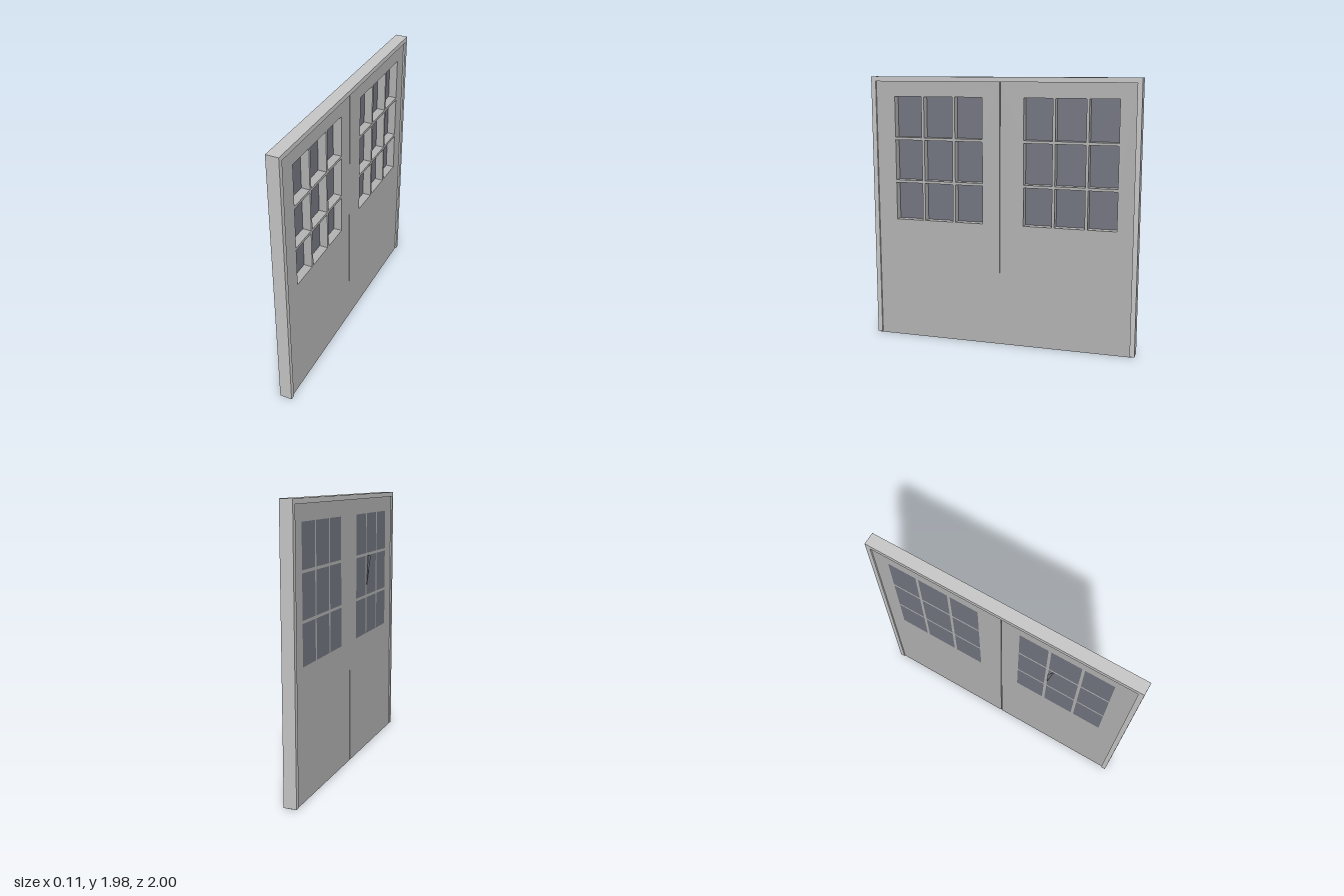
import * as THREE from 'three';

const mat = (name, color, extra = {}) => {
  const m = new THREE.MeshStandardMaterial({ color, ...extra });
  m.name = name;
  return m;
};

export function createModel() {
  const group = new THREE.Group();
  group.name = 'doubleDoor';
  const frameGrey = mat('frame grey', 0xc8c8c8);
  const doorGrey = mat('door grey', 0xb4b4b4);
  const glassBlue = mat('glass blue grey', 0x747681, { side: THREE.DoubleSide });

  const add = (name, geometry, material) => {
    const mesh = new THREE.Mesh(geometry, material);
    mesh.name = name;
    group.add(mesh);
    return mesh;
  };
  // Box given by its limits on each axis
  const box = (name, x0, x1, y0, y1, z0, z1, material) =>
    add(name, new THREE.BoxGeometry(x1 - x0, y1 - y0, z1 - z0), material)
      .position.set((x0 + x1) / 2, (y0 + y1) / 2, (z0 + z1) / 2);
  // Outline in the (z, y) plane, extruded from x0 to x1
  const loop = (pts, Type) => new Type(pts.map(([z, y]) => new THREE.Vector2(-z, y)));
  const rect = (z0, z1, y0, y1) => [[z1, y0], [z0, y0], [z0, y1], [z1, y1]];
  const slab = (shape, x0, x1) =>
    new THREE.ExtrudeGeometry(shape, { depth: x1 - x0, bevelEnabled: false })
      .rotateY(Math.PI / 2).translate(x0, 0, 0);

  // Surrounding frame: two posts and a head
  const frame = loop([
    [1, 0.008], [0.965, 0.008], [0.965, 1.94], [-0.965, 1.94],
    [-0.965, 0.008], [-1, 0.008], [-1, 1.975], [1, 1.975],
  ], THREE.Shape);
  add('frame', slab(frame, -0.04, 0.05), frameGrey);

  // Two leaves, each with a three by three grid of openings
  const back = -0.03, front = 0.037;
  const columns = [[0.14, 0.35], [0.37, 0.59], [0.61, 0.82]];
  const rows = [[0.91, 1.19], [1.21, 1.51], [1.53, 1.83]];
  const leaves = [
    { name: 'leftLeaf', z0: 0.008, z1: 0.965, shift: 0 },
    { name: 'rightLeaf', z0: -0.965, z1: 0.003, shift: -0.99 },
  ];
  for (const { name, z0, z1, shift } of leaves) {
    const leaf = loop(rect(z0, z1, 0, 1.94), THREE.Shape);
    for (const [a, b] of columns) {
      for (const [y0, y1] of rows) {
        leaf.holes.push(loop(rect(a + shift, b + shift, y0, y1), THREE.Path));
        // Pane set flush with the back of the leaf
        box('windowPane', back, back + 0.006, y0, y1, a + shift, b + shift, glassBlue);
      }
    }
    add(name, slab(leaf, back, front), doorGrey);
  }

  // Strip closing the gap between the leaves
  box('centreStrip', back + 0.01, front - 0.01, 0, 1.94, 0.003, 0.008, doorGrey);

  // Sill feet under the posts
  for (const s of [-1, 1]) {
    box('postFoot', back, front, 0, 0.008, Math.min(s * 0.965, s * 0.985), Math.max(s * 0.965, s * 0.985), doorGrey);
  }

  // Loose splinter of glass leaning out of one pane
  const splinter = new THREE.BufferGeometry();
  splinter.setAttribute('position', new THREE.Float32BufferAttribute(
    [-0.06, 1.51, 0.38, -0.028, 1.51, 0.41, -0.03, 1.27, 0.37], 3));
  splinter.computeVertexNormals();
  add('glassSplinter', splinter, glassBlue);

  return group;
}
